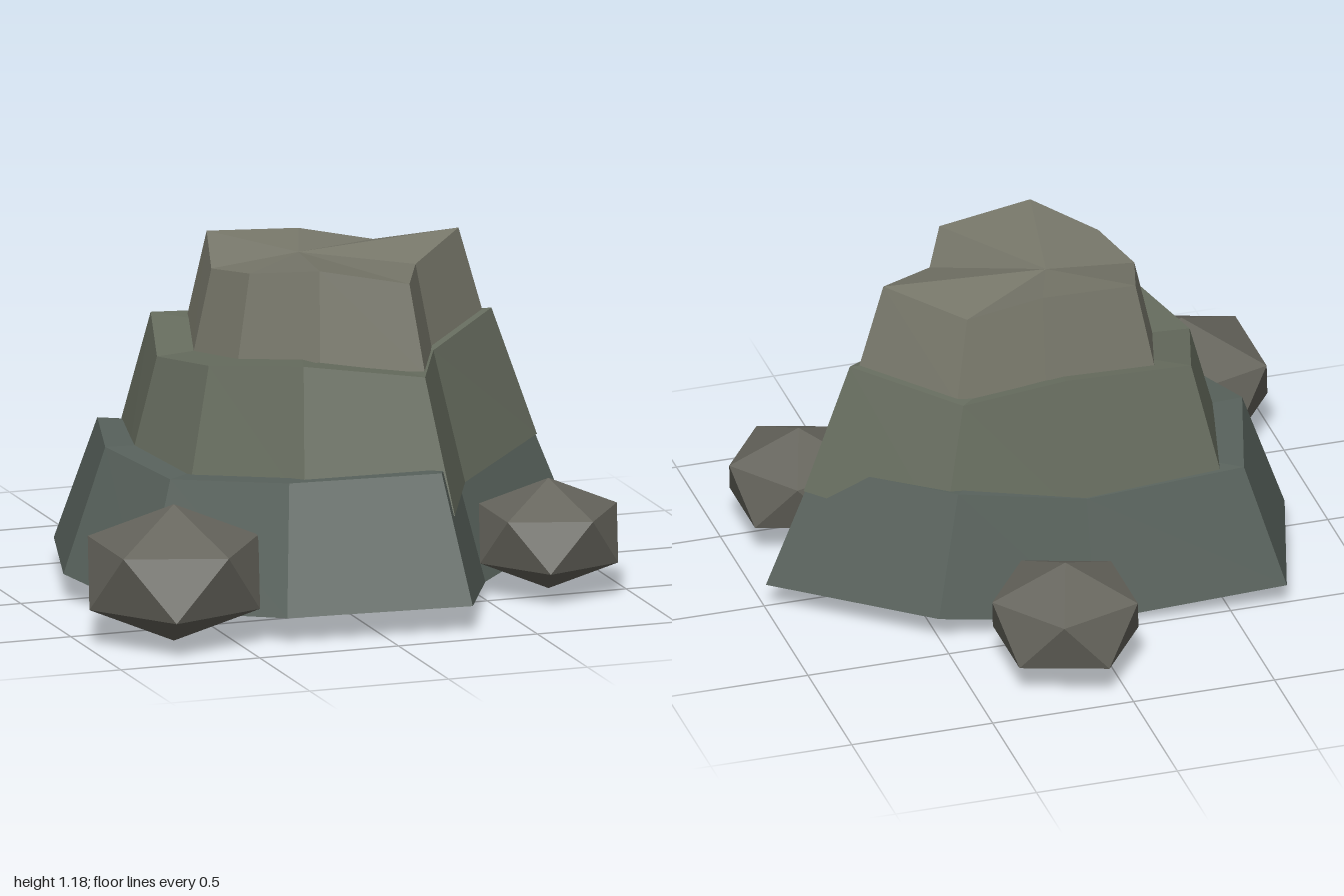
import * as THREE from 'three';

// Shared nine-cornered outline [x, z], running from +x towards +z
const OUTLINE = [[1, -0.02], [0.54, 0.37], [0.3, 0.91], [-0.35, 0.86], [-0.72, 0.44],
  [-0.85, 0.01], [-0.69, -0.53], [-0.03, -0.47], [0.51, -0.42]];

// How far each corner sags below its level
const BASE_SAG = [0, 0.06, 0, 0, 0.04, 0, 0.01, 0.07, 0];
const UPPER_SAG = [0, 0.065, 0.065, 0, 0.04, 0.065, 0, 0.01, 0.065];

// One uneven ring: the outline scaled, shifted along x and set at a level
const ring = ({ scale, shift, y }, sag) =>
  OUTLINE.map(([x, z], i) => [x * scale + shift, y - sag[i], z * scale]);

// Middle point of a ring's cap
const capCentre = (points) => [0, points.reduce((sum, p) => sum + p[1], 0) / points.length, 0];

// Closed solid between two rings
function layerGeometry(bottom, top) {
  const positions = [];
  const tri = (a, b, c) => positions.push(...a, ...b, ...c);
  const bottomCentre = capCentre(bottom);
  const topCentre = capCentre(top);
  for (let i = 0; i < bottom.length; i++) {
    const j = (i + 1) % bottom.length;
    tri(bottom[i], top[i], top[j]);
    tri(bottom[i], top[j], bottom[j]);
    tri(topCentre, top[j], top[i]);
    tri(bottomCentre, bottom[i], bottom[j]);
  }
  const geometry = new THREE.BufferGeometry();
  geometry.setAttribute('position', new THREE.Float32BufferAttribute(positions, 3));
  geometry.computeVertexNormals();
  return geometry;
}

const stone = (color) => new THREE.MeshStandardMaterial({ color, flatShading: true });

export function createModel() {
  const model = new THREE.Group();

  // Stacked rock layers, each tapering upwards
  const layers = [
    { name: 'lowerLayer', color: 0x58625c, sag: BASE_SAG,
      bottom: { scale: 1, shift: 0, y: 0.1 }, top: { scale: 0.822, shift: 0, y: 0.53 } },
    { name: 'middleLayer', color: 0x666c5e, sag: UPPER_SAG,
      bottom: { scale: 0.81, shift: 0.055, y: 0.44 }, top: { scale: 0.655, shift: 0.045, y: 0.895 } },
    { name: 'upperLayer', color: 0x77776a, sag: UPPER_SAG,
      bottom: { scale: 0.568, shift: 0.1, y: 0.885 }, top: { scale: 0.484, shift: 0.096, y: 1.185 } },
  ];
  for (const { name, color, sag, bottom, top } of layers) {
    const layer = new THREE.Mesh(layerGeometry(ring(bottom, sag), ring(top, sag)), stone(color));
    layer.name = name;
    model.add(layer);
  }

  // Flattened loose boulders, each with one corner pointing up
  const boulderGeometry = new THREE.IcosahedronGeometry(1, 0);
  boulderGeometry.rotateZ(-Math.atan(2 / (1 + Math.sqrt(5))));
  const boulderMaterial = stone(0x65645c);
  const boulders = [
    { name: 'largeBoulder', position: [-0.69, 0.245, 0.67], radius: 0.34 },
    { name: 'backBoulder', position: [0.155, 0.22, -0.72], radius: 0.29 },
    { name: 'smallBoulder', position: [0.735, 0.215, 0.46], radius: 0.275 },
  ];
  for (const { name, position, radius } of boulders) {
    const boulder = new THREE.Mesh(boulderGeometry, boulderMaterial);
    boulder.name = name;
    boulder.position.set(...position);
    boulder.scale.set(radius, radius * 0.7, radius);
    model.add(boulder);
  }
  return model;
}
